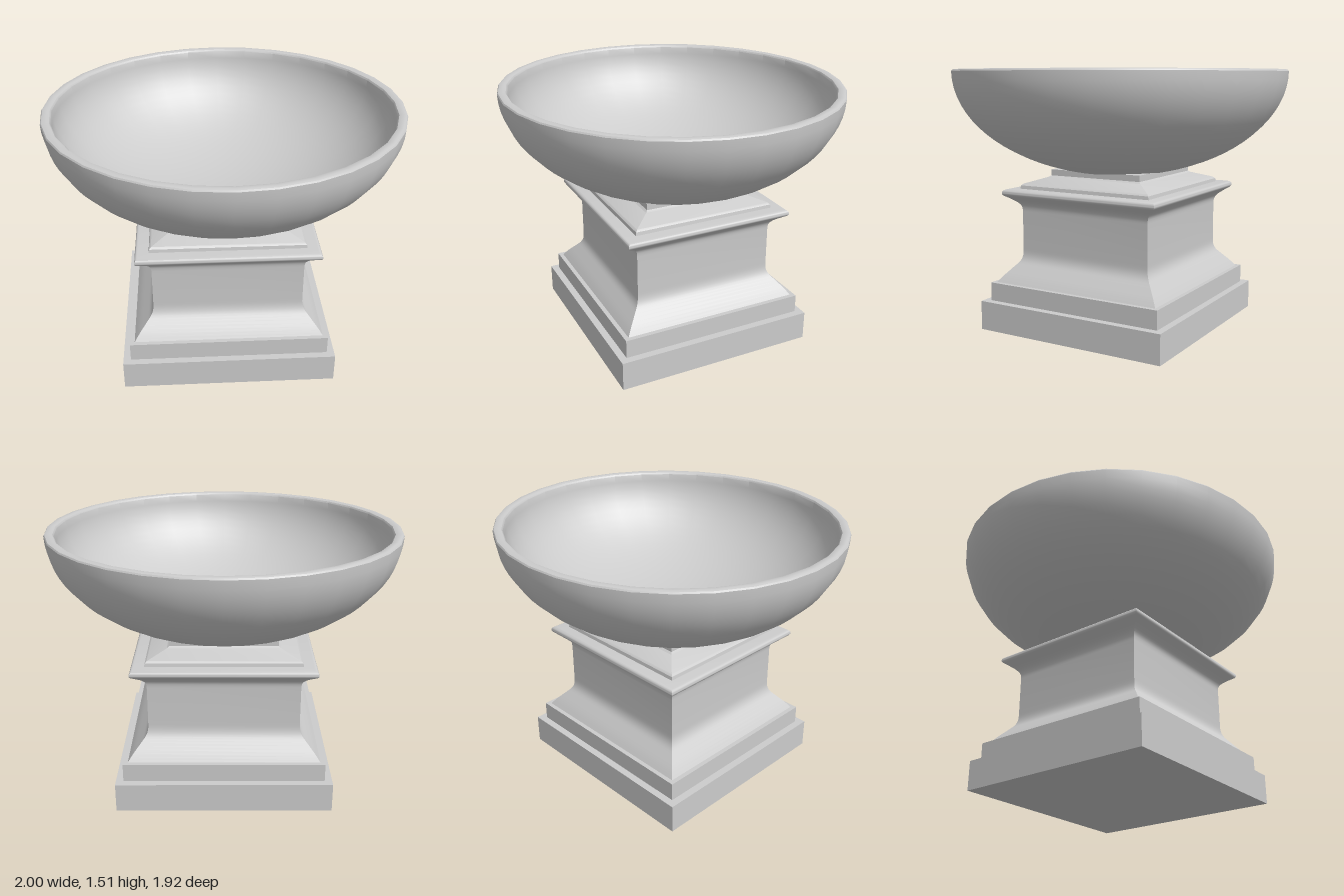
import * as THREE from 'three';
import { toCreasedNormals } from 'three/addons/utils/BufferGeometryUtils.js';

const DEPTH = 0.96; // the whole piece is slightly shallower than wide
const material = new THREE.MeshStandardMaterial({ color: 0xcccccc });
const v2 = (list) => list.map(([r, y]) => new THREE.Vector2(r, y));
const curve = (list, n) => new THREE.SplineCurve(v2(list)).getPoints(n);

// Turn a bottom-to-top profile; four sides give a mitred square section
function turned(name, profile, sides) {
  const square = sides === 4;
  const geometry = new THREE.LatheGeometry(profile, sides, square ? Math.PI / 4 : 0);
  const k = square ? Math.SQRT2 : 1;
  geometry.scale(k, 1, k * DEPTH);
  const mesh = new THREE.Mesh(toCreasedNormals(geometry, 0.6), material);
  mesh.name = name;
  return mesh;
}

// Quarter ellipse from centre to rim (y measured down from the rim)
function bowlArc(radius, depth, top, n) {
  return Array.from({ length: n + 1 }, (_, i) => {
    const a = (i / n) * Math.PI / 2;
    return new THREE.Vector2(radius * Math.sin(a), top - depth * Math.cos(a));
  });
}

export function createModel() {
  const group = new THREE.Group();
  group.name = 'pedestalBowl';

  // Square plinth and the step above it
  group.add(turned('plinth', v2([[0, 0], [0.613, 0], [0.613, 0.17], [0, 0.17]]), 4));
  group.add(turned('baseStep', v2([[0, 0.165], [0.57, 0.165], [0.57, 0.277], [0, 0.277]]), 4));

  // Shaft with flared foot, and the cornice that caps it
  group.add(turned('shaft', [
    ...curve([[0.545, 0.275], [0.515, 0.315], [0.475, 0.36], [0.445, 0.395], [0.432, 0.43], [0.43, 0.47]], 14),
    ...curve([[0.43, 0.69], [0.434, 0.72], [0.452, 0.745], [0.485, 0.77], [0.503, 0.782]], 10),
    ...curve([[0.508, 0.785], [0.516, 0.795], [0.516, 0.808], [0.509, 0.818], [0.495, 0.823]], 8),
    ...v2([[0, 0.823]]),
  ], 4));

  // Sloped cap and neck under the bowl
  group.add(turned('cap', v2([
    [0.44, 0.82], [0.436, 0.842], [0.425, 0.852], [0.32, 0.886], [0.307, 0.895], [0.307, 0.93], [0, 0.93],
  ]), 4));

  // Bowl: outer shell, rounded lip, inner shell
  group.add(turned('bowl', [
    ...bowlArc(1, 0.605, 1.495, 20),
    ...v2([[0.995, 1.503], [0.985, 1.506], [0.965, 1.506], [0.952, 1.502]]),
    ...bowlArc(0.945, 0.545, 1.493, 20).reverse(),
  ], 32));

  return group;
}
